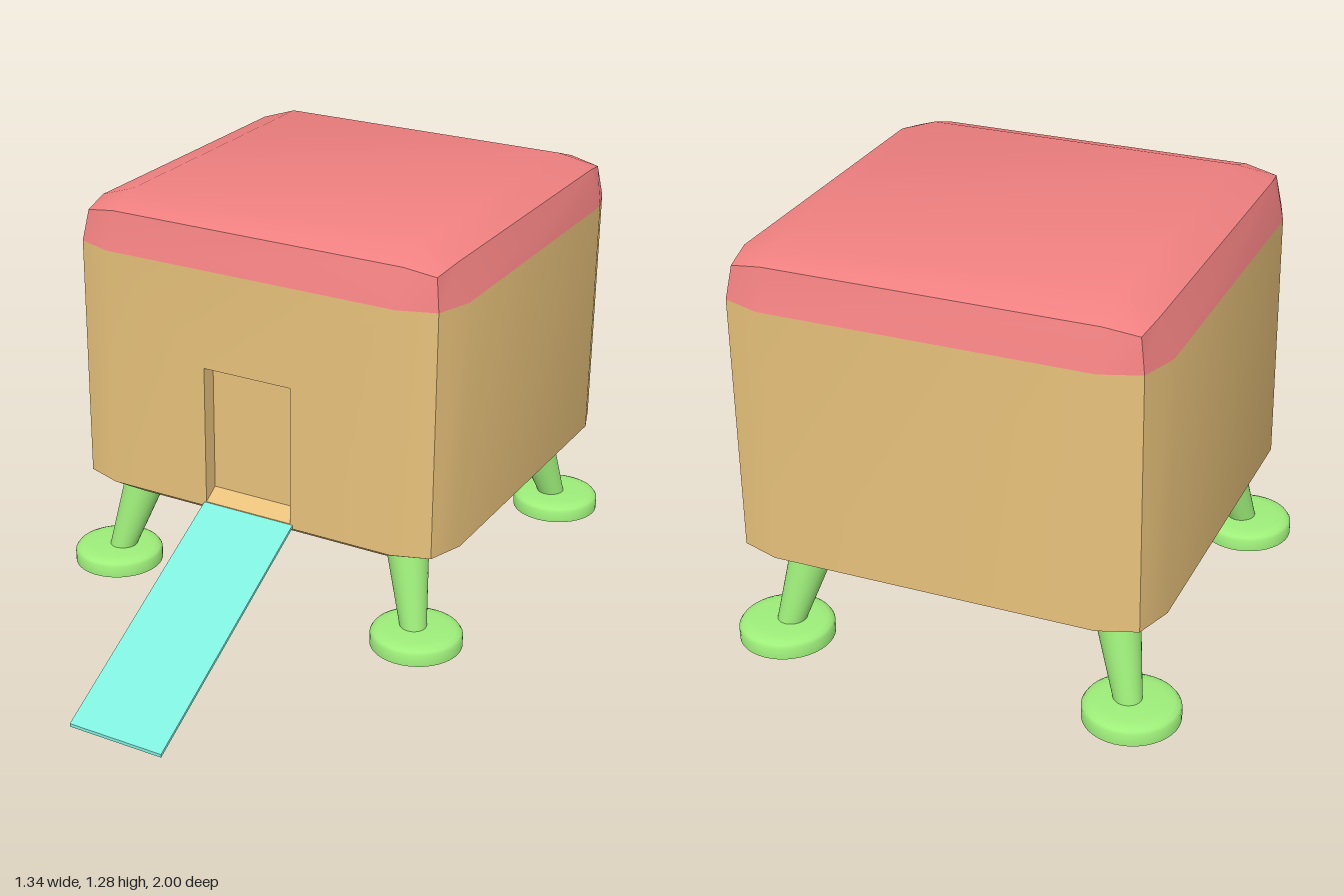
import * as THREE from 'three';
import { mergeGeometries, toCreasedNormals } from 'three/addons/utils/BufferGeometryUtils.js';

const CREASE = 0.55;
const mat = (color, side = THREE.FrontSide) => new THREE.MeshStandardMaterial({ color, side });

// 12-point rounded-square ring: a = half width, s = half straight edge, c = corner point
function ring(y, a, s, c, cornerY = y) {
  const points = [];
  let quarter = [[-s, y, a], [s, y, a], [c, cornerY, c]];
  for (let k = 0; k < 4; k++) {
    points.push(...quarter);
    quarter = quarter.map(([x, h, z]) => [z, h, -x]);
  }
  return points.map((p) => new THREE.Vector3(...p));
}

function addTriangle(out, a, b, c) {
  const tri = new THREE.Triangle(a, b, c);
  if (tri.getArea() > 1e-7) for (const p of [a, b, c]) out.push(p.x, p.y, p.z);
}

function addQuad(out, a, b, c, d) {
  addTriangle(out, a, b, c);
  addTriangle(out, a, c, d);
}

// Joins consecutive rings, bottom to top; the front panel can be left out
function addBands(out, rings, skipFrontOf = -1) {
  for (let r = 0; r < rings.length - 1; r++) {
    for (let i = 0; i < 12; i++) {
      if (r === skipFrontOf && i === 0) continue;
      const j = (i + 1) % 12;
      addQuad(out, rings[r][i], rings[r][j], rings[r + 1][j], rings[r + 1][i]);
    }
  }
}

function addCap(out, points) {
  for (let i = 1; i < points.length - 1; i++) addTriangle(out, points[0], points[i], points[i + 1]);
}

function toGeometry(out) {
  return new THREE.BufferGeometry().setAttribute('position', new THREE.Float32BufferAttribute(out, 3));
}

function rectangle(target, x, y0, y1) {
  target.moveTo(-x, y0);
  target.lineTo(x, y0);
  target.lineTo(x, y1);
  target.lineTo(-x, y1);
  target.closePath();
  return target;
}

function bodyGeometry() {
  const out = [];
  const rings = [ring(0.325, 0.55, 0.42, 0.515), ring(0.375, 0.625, 0.475, 0.587), ring(1.13, 0.625, 0.475, 0.587)];
  addBands(out, rings, 1);
  addCap(out, [...rings[0]].reverse());

  // Shallow doorway recess with a sloping sill
  const corners = (z, sill) => [[-0.145, sill], [0.145, sill], [0.145, 0.825], [-0.145, 0.825]]
    .map(([x, y]) => new THREE.Vector3(x, y, z));
  const front = corners(0.625, 0.39);
  const back = corners(0.575, 0.42);
  for (let i = 0; i < 4; i++) {
    const j = (i + 1) % 4;
    addQuad(out, front[i], front[j], back[j], back[i]);
  }
  addQuad(out, ...back);

  // Front wall with the door opening
  const wall = rectangle(new THREE.Shape(), 0.475, 0.375, 1.13);
  wall.holes.push(rectangle(new THREE.Path(), 0.145, 0.39, 0.825));
  const panel = new THREE.ShapeGeometry(wall).toNonIndexed().translate(0, 0, 0.625);
  panel.deleteAttribute('normal');
  panel.deleteAttribute('uv');
  return toCreasedNormals(mergeGeometries([toGeometry(out), panel]), CREASE);
}

function roofGeometry() {
  const out = [];
  const rings = [
    ring(1.13, 0.625, 0.475, 0.587),
    ring(1.242, 0.587, 0.475, 0.572, 1.225),
    ring(1.28, 0.475, 0.475, 0.475),
  ];
  addBands(out, rings);
  addCap(out, rings[2]);
  return toCreasedNormals(toGeometry(out), CREASE);
}

function makeLeg(sx, sz, material) {
  const leg = new THREE.Group();
  leg.name = 'leg';

  // Splayed strut, thicker at the top
  const top = new THREE.Vector3(sx * 0.453, 0.36, sz * 0.445);
  const bottom = new THREE.Vector3(sx * 0.52, 0.085, sz * 0.518);
  const axis = top.clone().sub(bottom);
  const strut = new THREE.Mesh(new THREE.CylinderGeometry(0.068, 0.039, axis.length(), 32), material);
  strut.name = 'strut';
  strut.position.copy(top).add(bottom).multiplyScalar(0.5);
  strut.quaternion.setFromUnitVectors(new THREE.Vector3(0, 1, 0), axis.normalize());

  // Round foot pad with a softened upper rim
  const profile = [[0, 0.047], [0.138, 0.047], [0.138, 0.082], [0.132, 0.091], [0.118, 0.097], [0.095, 0.1], [0, 0.1]]
    .map(([r, y]) => new THREE.Vector2(r, y));
  const pad = new THREE.Mesh(toCreasedNormals(new THREE.LatheGeometry(profile, 40), 0.8), material);
  pad.name = 'footPad';
  pad.position.set(sx * 0.53, 0, sz * 0.52);

  leg.add(strut, pad);
  return leg;
}

export function createModel() {
  const model = new THREE.Group();
  model.name = 'hutOnLegs';

  const cabin = new THREE.Group();
  cabin.name = 'cabin';
  cabin.position.set(0.0125, 0, -0.345);
  const body = new THREE.Mesh(bodyGeometry(), mat(0xe8c27b));
  body.name = 'body';
  const roof = new THREE.Mesh(roofGeometry(), mat(0xf08080));
  roof.name = 'roof';
  cabin.add(body, roof);
  model.add(cabin);

  // Four legs
  const legs = new THREE.Group();
  legs.name = 'legs';
  legs.position.z = -0.34;
  const green = mat(0x9eee7a);
  for (const sx of [-1, 1]) for (const sz of [-1, 1]) legs.add(makeLeg(sx, sz, green));
  model.add(legs);

  // Thin ramp: a flat box sheared down from the door sill to the ground
  const rampGeometry = new THREE.BoxGeometry(0.305, 0.01, 0.725).translate(0, 0.005, 0.6375);
  const p = rampGeometry.attributes.position;
  for (let i = 0; i < p.count; i++) p.setY(i, p.getY(i) + ((1 - p.getZ(i)) / 0.725) * 0.38);
  rampGeometry.computeVertexNormals();
  const ramp = new THREE.Mesh(rampGeometry, mat(0x7feedd));
  ramp.name = 'ramp';
  ramp.position.x = 0.0125;
  model.add(ramp);

  return model;
}
